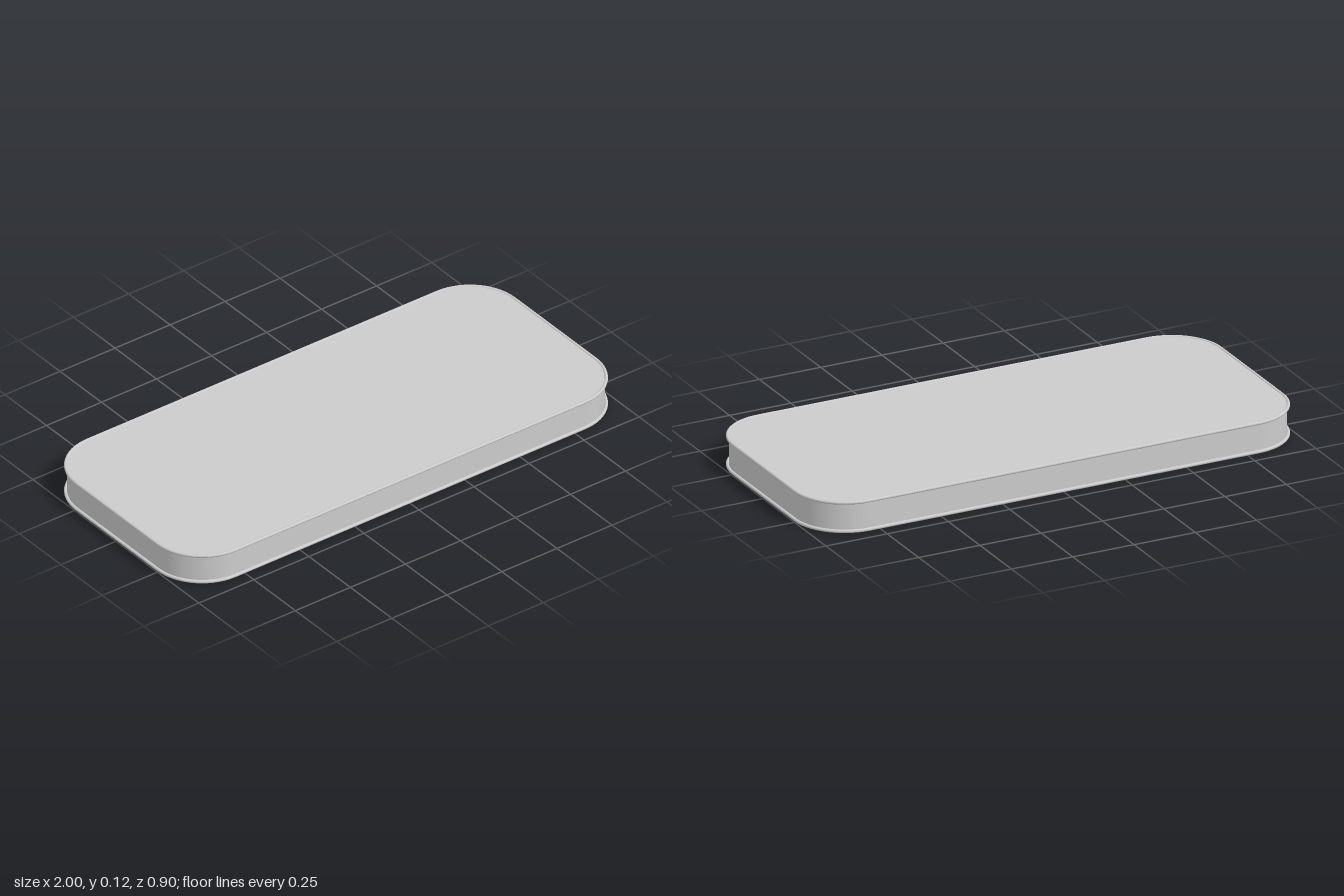
import * as THREE from 'three';
import { toCreasedNormals } from 'three/addons/utils/BufferGeometryUtils.js';

const HEIGHT = 0.125;
const PIPE = 0.0065; // piping radius

// Rounded rectangle given by half sizes and corner radius
function roundedOutline(w, d, r) {
  const s = new THREE.Shape();
  s.moveTo(w, 0);
  s.absarc(w - r, d - r, r, 0, Math.PI / 2);
  s.absarc(-w + r, d - r, r, Math.PI / 2, Math.PI);
  s.absarc(-w + r, -d + r, r, Math.PI, Math.PI * 1.5);
  s.absarc(w - r, -d + r, r, Math.PI * 1.5, Math.PI * 2);
  s.closePath();
  return s;
}

export function createModel() {
  const group = new THREE.Group();
  group.name = 'mattress';
  const material = new THREE.MeshStandardMaterial({ color: 0xcccccc });

  // Flat padded slab with upright sides
  const inset = 0.004;
  const slab = new THREE.ExtrudeGeometry(roundedOutline(0.99, 0.441, 0.2), {
    depth: HEIGHT - 2 * inset, bevelEnabled: false, curveSegments: 24,
  });
  slab.rotateX(-Math.PI / 2);
  slab.translate(0, inset, 0);
  const body = new THREE.Mesh(toCreasedNormals(slab, 0.6), material);
  body.name = 'body';
  group.add(body);

  // Piping cord around the lower and upper edges
  const loop = roundedOutline(1 - PIPE, 0.451 - PIPE, 0.2).getSpacedPoints(200).slice(0, -1);
  const path = new THREE.CatmullRomCurve3(loop.map((p) => new THREE.Vector3(p.x, 0, -p.y)), true);
  const cord = new THREE.TubeGeometry(path, 240, PIPE, 12, true);
  for (const [name, y] of [['lowerPiping', PIPE], ['upperPiping', HEIGHT - PIPE]]) {
    const piping = new THREE.Mesh(cord, material);
    piping.name = name;
    piping.position.y = y;
    group.add(piping);
  }
  return group;
}
